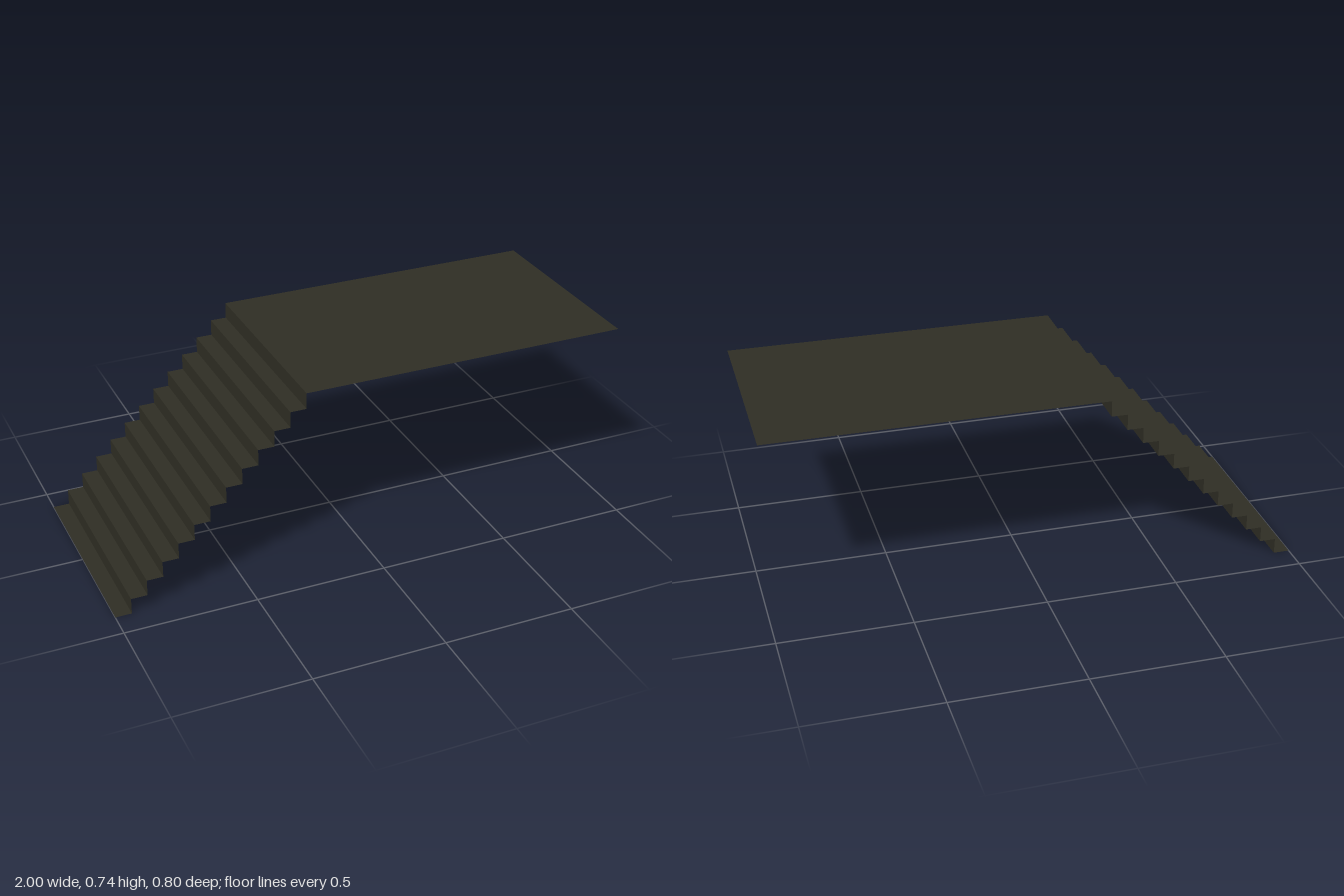
import * as THREE from 'three';

const STEPS = 12;
const SIZE = 0.738 / STEPS; // equal tread depth and riser height
const WIDTH = 0.8;

export function createModel() {
  const group = new THREE.Group();
  const darkOlive = new THREE.MeshStandardMaterial({ color: 0x2f2e24, side: THREE.DoubleSide });
  darkOlive.name = 'darkOlive';

  const addSheet = (name, geometry, x, y, parent) => {
    const mesh = new THREE.Mesh(geometry, darkOlive);
    mesh.name = name;
    mesh.position.set(x, y, 0);
    parent.add(mesh);
  };

  // Thin sheets: treads face up, risers face the foot of the stairs
  const stairs = new THREE.Group();
  stairs.name = 'stairs';
  group.add(stairs);
  const tread = new THREE.PlaneGeometry(SIZE, WIDTH).rotateX(-Math.PI / 2);
  const riser = new THREE.PlaneGeometry(WIDTH, SIZE).rotateY(-Math.PI / 2);
  for (let i = 0; i < STEPS; i++) {
    addSheet('tread', tread, -1 + (i + 0.5) * SIZE, i * SIZE, stairs);
    addSheet('riser', riser, -1 + (i + 1) * SIZE, (i + 0.5) * SIZE, stairs);
  }

  // Flat landing from the top riser to the far end
  const start = -1 + STEPS * SIZE;
  const deck = new THREE.PlaneGeometry(1 - start, WIDTH).rotateX(-Math.PI / 2);
  addSheet('landing', deck, (1 + start) / 2, STEPS * SIZE, group);

  return group;
}
